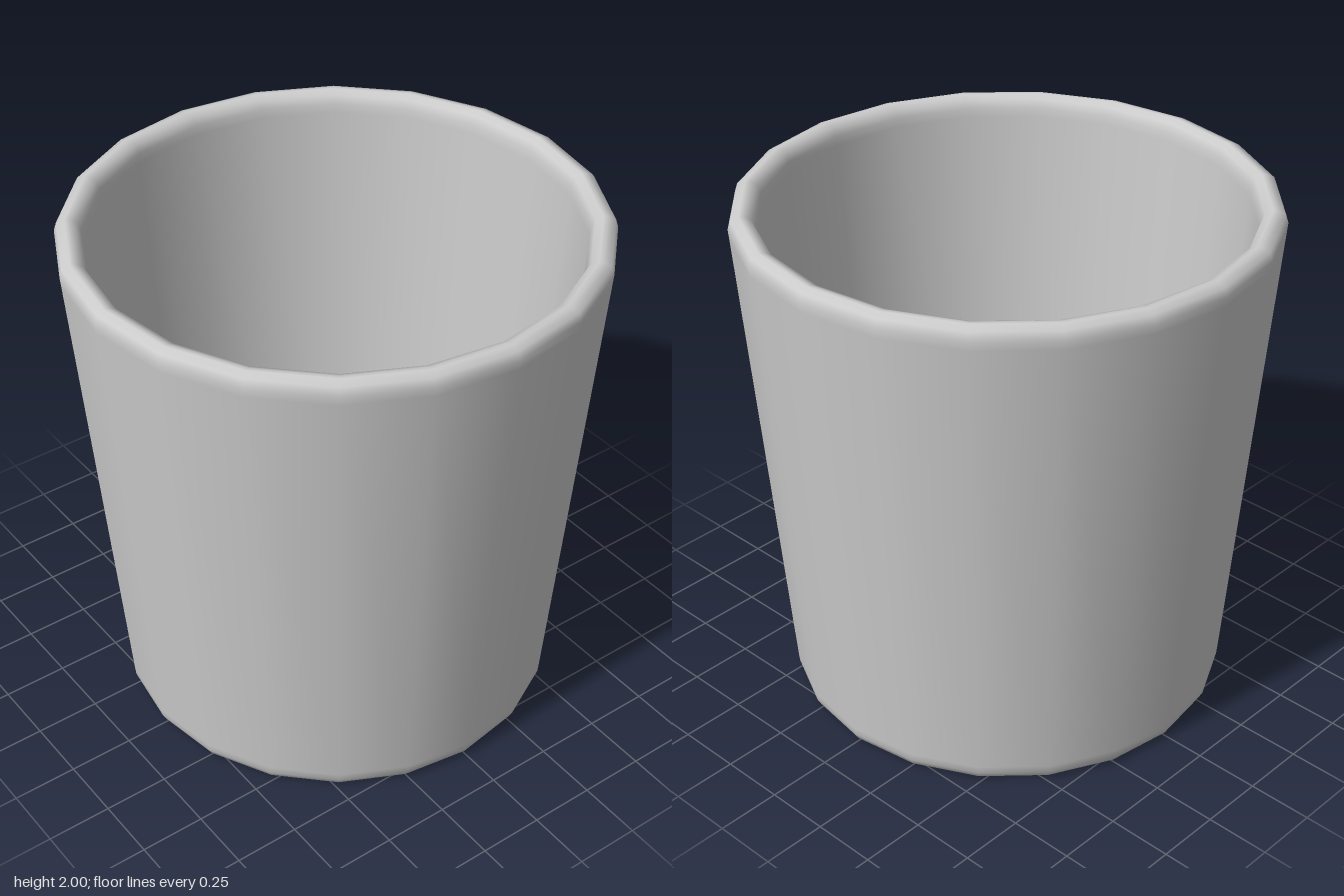
import * as THREE from 'three';

export function createModel() {
  const group = new THREE.Group();
  group.name = 'cup';

  // Closed wall section as [radius, height]: underside, outer wall, rim, inner wall, floor
  const profile = [
    [0, 0], [0.78, 0], [0.8, 0], [0.825, 0.012], [0.84, 0.04], [0.843, 0.07],
    [0.992, 1.92], [0.995, 1.955], [0.985, 1.987], [0.955, 2],
    [0.94, 2], [0.912, 1.987], [0.9, 1.955], [0.897, 1.92],
    [0.772, 0.17], [0.769, 0.14], [0.757, 0.112], [0.73, 0.1], [0.71, 0.1], [0, 0.1],
  ].map(([r, y]) => new THREE.Vector2(r, y));

  // Twenty-sided turned body with smooth normals
  const body = new THREE.Mesh(
    new THREE.LatheGeometry(profile, 20),
    new THREE.MeshStandardMaterial({ color: 0xcccccc })
  );
  body.name = 'cupBody';
  group.add(body);
  return group;
}
